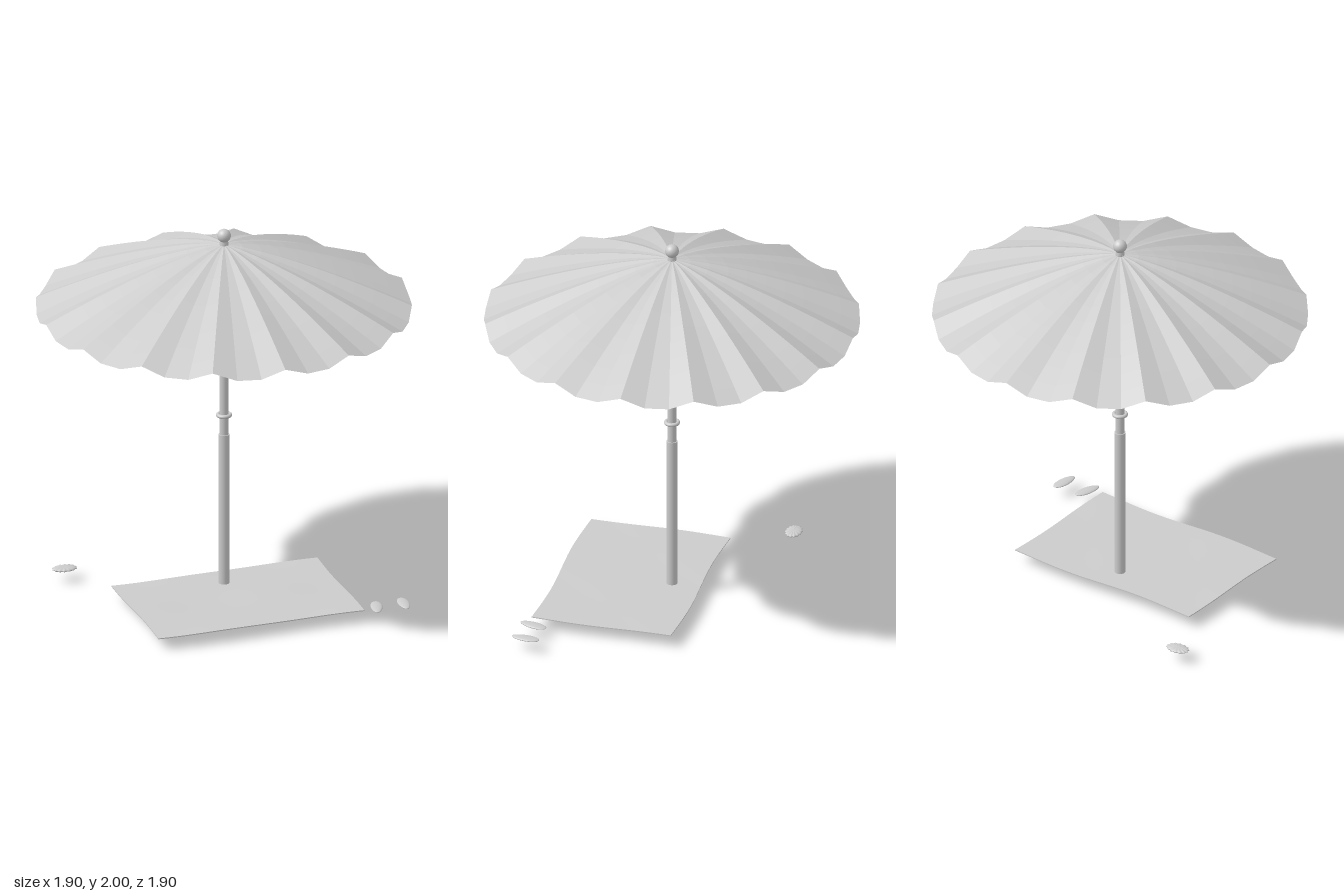
import * as THREE from 'three';

const grey = new THREE.MeshStandardMaterial({ color: 0xcccccc });
const flatSheet = new THREE.MeshStandardMaterial({ color: 0xcccccc, flatShading: true, side: THREE.DoubleSide });

// Move every vertex of a geometry by a rule, then refresh normals
function warp(geometry, rule) {
  const pos = geometry.attributes.position;
  const v = new THREE.Vector3();
  for (let i = 0; i < pos.count; i++) {
    rule(v.fromBufferAttribute(pos, i));
    pos.setXYZ(i, v.x, v.y, v.z);
  }
  geometry.computeVertexNormals();
  return geometry;
}

export function createModel() {
  const group = new THREE.Group();

  function add(name, geometry, x = 0, y = 0, z = 0, material = grey) {
    const mesh = new THREE.Mesh(geometry, material);
    mesh.name = name;
    mesh.position.set(x, y, z);
    group.add(mesh);
    return mesh;
  }

  // Two-stage pole with a collar ring
  add('lowerPole', new THREE.CylinderGeometry(0.028, 0.028, 0.88, 20), 0, 0.44);
  add('upperPole', new THREE.CylinderGeometry(0.023, 0.023, 1.05, 20), 0, 1.395);
  add('collar', new THREE.TorusGeometry(0.031, 0.01, 10, 28), 0, 0.985).rotation.x = Math.PI / 2;

  // Finial on top of the canopy
  add('finialNeck', new THREE.CylinderGeometry(0.02, 0.024, 0.04, 16), 0, 1.925);
  add('finialBall', new THREE.SphereGeometry(0.035, 24, 16), 0, 1.965);

  // Pleated canopy: 16 ribs with three facets between each, rippling more toward the rim
  const R = 0.95;
  const canopy = new THREE.RingGeometry(0, R, 48, 10).rotateX(-Math.PI / 2);
  warp(canopy, (v) => {
    const t = Math.hypot(v.x, v.z) / R;
    const a = Math.atan2(v.z, v.x);
    v.y = 1.92 - 0.341 * t ** 1.3 + 0.027 * t * Math.cos(16 * a);
  });
  add('canopy', canopy, 0, 0, 0, flatSheet);

  // Thin, slightly wavy towel on the sand
  const towel = warp(new THREE.BoxGeometry(1.1, 0.005, 0.73, 24, 1, 14), (v) => {
    const x = v.x, z = v.z;
    v.y += 0.0025 * Math.sin(x * 9) * Math.cos(z * 8);
    v.z -= 0.01 * Math.sin((x * 2 * Math.PI) / 1.1);
    v.x += 0.004 * Math.sin(z * 9);
  });
  add('towel', towel, 0, 0.065, 0.215);

  // Pair of sandal soles: flattened ovals, narrower at the heel
  for (const [name, x, turn] of [['rightSandal', 0.625, -0.26], ['leftSandal', 0.77, -0.1]]) {
    const sole = warp(new THREE.SphereGeometry(1, 24, 14), (v) => {
      v.x *= 0.03 * (1 - 0.12 * v.z);
      v.y *= 0.009;
      v.z *= 0.074;
    });
    add(name, sole, x, 0.065, 0.55).rotation.y = turn;
  }

  // Ribbed seashell: a flat oval with a fluted edge
  const shell = warp(new THREE.SphereGeometry(1, 56, 12), (v) => {
    const a = Math.atan2(v.z, v.x);
    const r = Math.hypot(v.x, v.z);
    const flute = 1 + 0.06 * r * Math.cos(14 * a);
    v.x *= 0.062 * flute;
    v.z *= 0.042 * flute;
    v.y *= 0.011 * (1 + 0.15 * r * Math.cos(14 * a));
  });
  add('seashell', shell, -0.7, 0.067, -0.44);

  return group;
}
